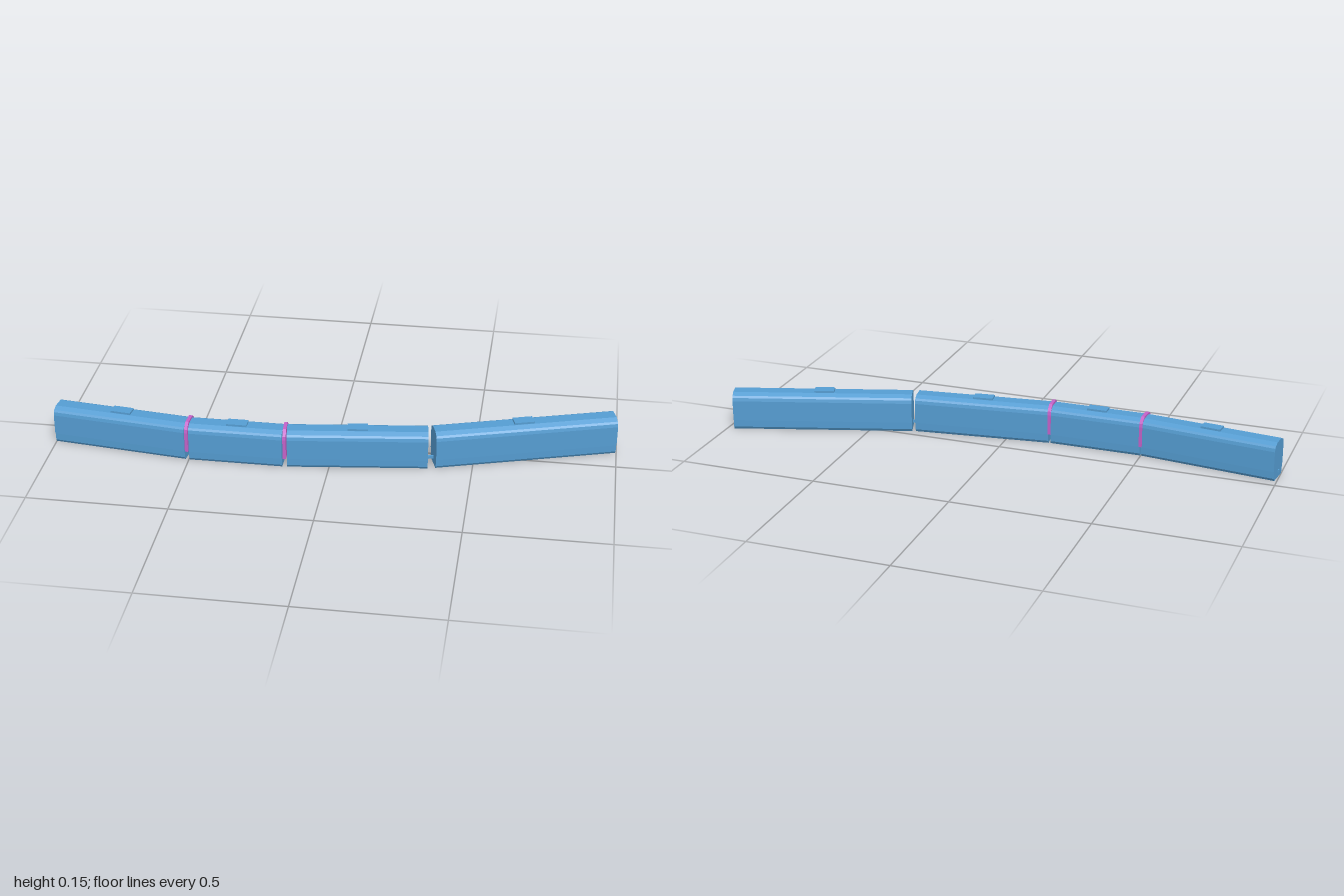
import * as THREE from 'three';

const blue = new THREE.MeshStandardMaterial({ color: 0x559dd2 });
blue.name = 'body blue';
const pink = new THREE.MeshStandardMaterial({ color: 0xc462c8 });
pink.name = 'bellows pink';

// Half cross-sections as [half width, height], from the bottom up
const bodyProfile = [
  [0.036, 0], [0.0425, 0.01], [0.0435, 0.037], [0.0465, 0.037],
  [0.0465, 0.111], [0.044, 0.123], [0.039, 0.13], [0.022, 0.139],
];
const bellowsProfile = [
  [0.0475, 0.037], [0.0475, 0.112], [0.045, 0.125], [0.038, 0.136], [0.024, 0.146],
];

// Mirrors a half profile and extrudes it along x, centred
function prism(profile, length) {
  const right = profile.map(([x, y]) => new THREE.Vector2(x, y));
  const left = profile.map(([x, y]) => new THREE.Vector2(-x, y)).reverse();
  const geometry = new THREE.ExtrudeGeometry(new THREE.Shape([...right, ...left]), {
    depth: length, bevelEnabled: false,
  });
  return geometry.translate(0, 0, -length / 2).rotateY(Math.PI / 2);
}

function addMesh(parent, name, geometry, material, x = 0, y = 0, z = 0) {
  const mesh = new THREE.Mesh(geometry, material);
  mesh.name = name;
  mesh.position.set(x, y, z);
  parent.add(mesh);
  return mesh;
}

// Group placed between two floor points, with its x axis along them
function span([x1, z1], [x2, z2], name) {
  const group = new THREE.Group();
  group.name = name;
  group.position.set((x1 + x2) / 2, 0, (z1 + z2) / 2);
  group.rotation.y = Math.atan2(z1 - z2, x2 - x1);
  return group;
}

export function createModel() {
  const model = new THREE.Group();
  model.name = 'articulatedTrain';

  // Start, end and roof unit offset of each carriage
  const cars = [
    [[-0.995, 0.073], [-0.508, 0.13], 0],
    [[-0.497, 0.131], [-0.164, 0.131], 0.002],
    [[-0.151, 0.13], [0.34, 0.07], 0],
    [[0.36, 0.064], [0.985, -0.133], -0.006],
  ];

  cars.forEach(([a, b, offset], i) => {
    const length = Math.hypot(b[0] - a[0], b[1] - a[1]);
    const car = span(a, b, `carriage${i + 1}`);
    addMesh(car, 'body', prism(bodyProfile, length), blue);
    addMesh(car, 'roofUnit', new THREE.BoxGeometry(0.072, 0.01, 0.04), blue, offset, 0.141, 0);
    model.add(car);
  });

  // Bellows on the first two joints
  [0, 1].forEach((i) => {
    const a = cars[i][1];
    const b = cars[i + 1][0];
    const joint = span(a, b, `joint${i + 1}`);
    joint.rotation.y = i ? 0.06 : -0.06;
    addMesh(joint, 'bellows', prism(bellowsProfile, 0.012), pink);
    model.add(joint);
  });

  // Small couplers at the open joint and the rear end
  const rear = span([-1, 0.0725], [-0.99, 0.0736], 'rearCoupler');
  addMesh(rear, 'coupler', new THREE.BoxGeometry(0.01, 0.01, 0.008), blue, 0, 0.025, 0);
  const open = span(cars[2][1], cars[3][0], 'openJoint');
  addMesh(open, 'coupler', new THREE.BoxGeometry(0.03, 0.01, 0.008), blue, 0, 0.025, 0);
  model.add(rear, open);

  return model;
}
